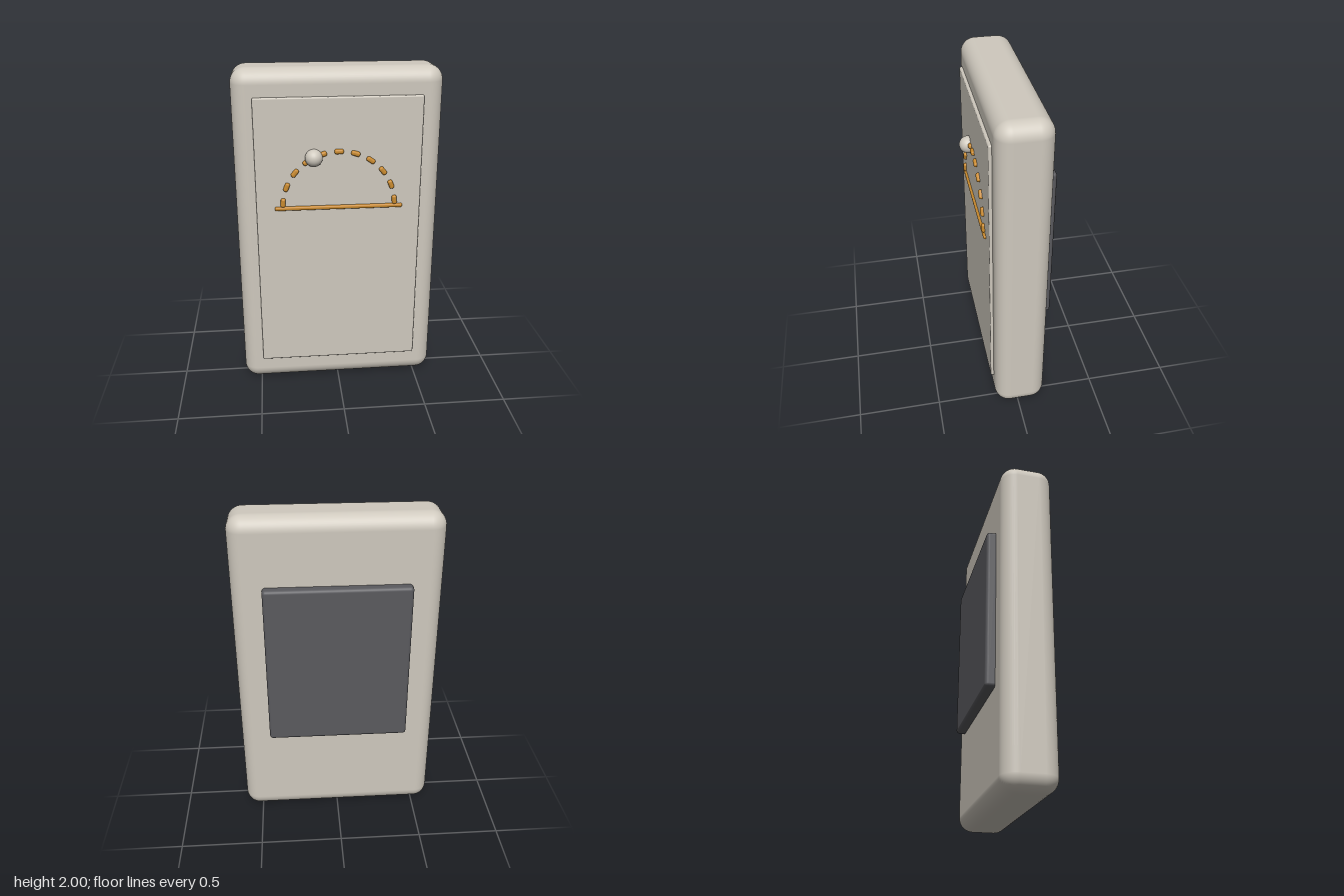
import * as THREE from 'three';
import { RoundedBoxGeometry } from 'three/addons/geometries/RoundedBoxGeometry.js';

export function createModel() {
  const model = new THREE.Group();
  model.name = 'wallPanelDevice';

  const mat = (name, color) => {
    const m = new THREE.MeshStandardMaterial({ color });
    m.name = name;
    return m;
  };
  const shell = mat('warm grey', 0xcfc9be);
  const brass = mat('brass', 0xc98a2e);
  const dark = mat('dark grey', 0x5a5a5e);

  const add = (name, geometry, material, x, y, z, parent = model) => {
    const mesh = new THREE.Mesh(geometry, material);
    mesh.name = name;
    mesh.position.set(x, y, z);
    parent.add(mesh);
    return mesh;
  };

  // Rounded case with a raised front panel and a back plate
  add('case', new RoundedBoxGeometry(1.21, 2, 0.31, 6, 0.088), shell, 0, 1, -0.015);
  add('frontPanel', new RoundedBoxGeometry(0.97, 1.68, 0.04, 3, 0.009), shell, 0, 1.003, 0.138);
  add('backPlate', new RoundedBoxGeometry(0.85, 1, 0.08, 4, 0.02), dark, 0, 1.1, -0.185);

  // Horizon bar with a dashed arc above it
  const centreY = 1.2, radius = 0.33;
  add('horizonBar', new RoundedBoxGeometry(0.755, 0.024, 0.024, 3, 0.01), brass, 0, 1.192, 0.16);

  const arc = new THREE.Group();
  arc.name = 'dashedArc';
  model.add(arc);
  const dashGeometry = new RoundedBoxGeometry(0.054, 0.029, 0.03, 3, 0.012);
  for (let i = 0; i < 11; i++) {
    const angle = THREE.MathUtils.degToRad(5 + i * 17);
    const dash = add('arcDash', dashGeometry, brass,
      Math.cos(angle) * radius, centreY + Math.sin(angle) * radius, 0.161, arc);
    dash.rotation.z = angle + Math.PI / 2;
  }

  // Ball riding on the arc
  add('arcBall', new THREE.SphereGeometry(0.051, 32, 20), shell, -0.146, 1.498, 0.17);

  return model;
}
